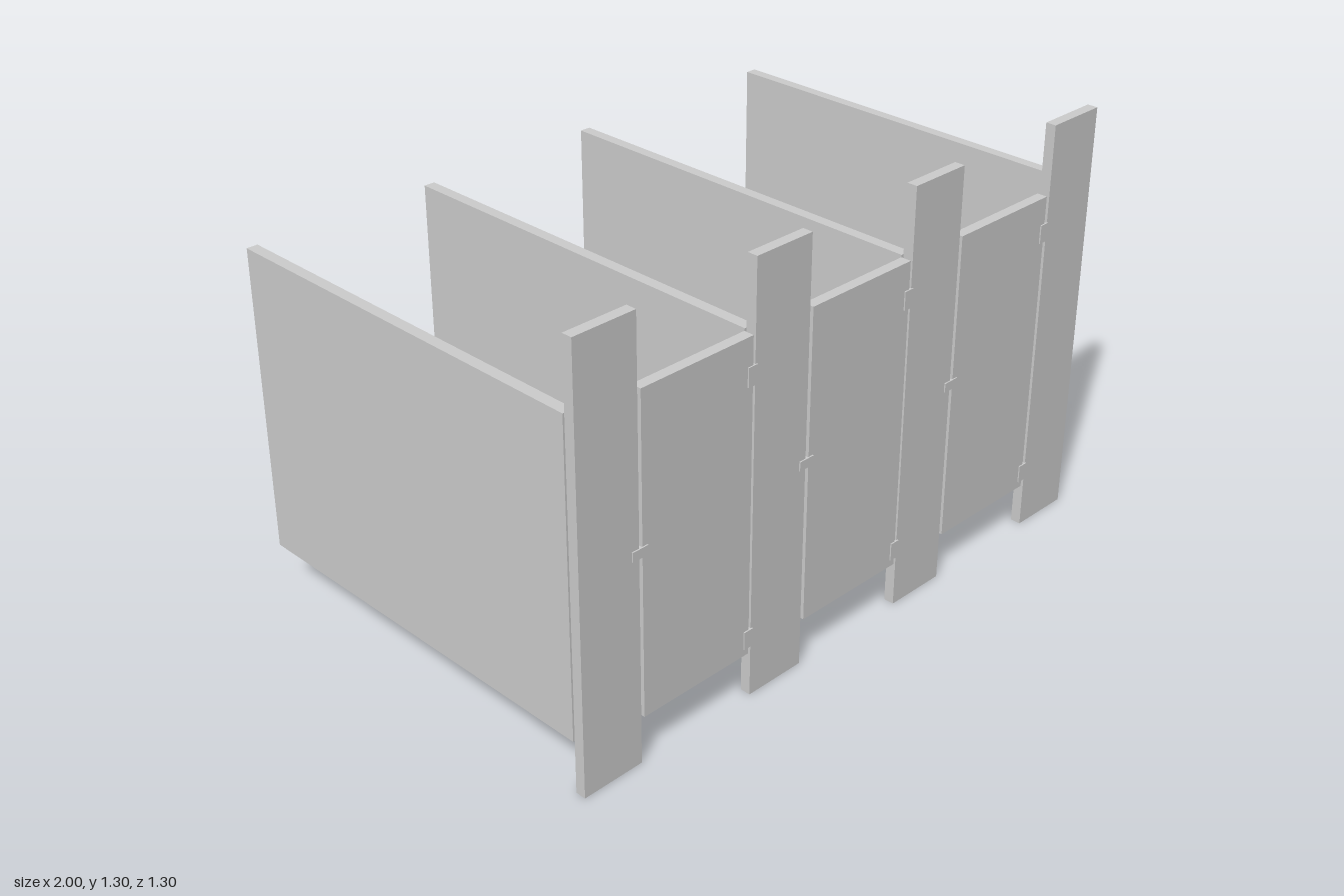
import * as THREE from 'three';

const material = new THREE.MeshStandardMaterial({ color: 0xcccccc });

// Box given by its minimum and maximum on each axis
function block(parent, name, [x0, x1], [y0, y1], [z0, z1]) {
  const mesh = new THREE.Mesh(new THREE.BoxGeometry(x1 - x0, y1 - y0, z1 - z0), material);
  mesh.name = name;
  mesh.position.set((x0 + x1) / 2, (y0 + y1) / 2, (z0 + z1) / 2);
  parent.add(mesh);
}

const FRONT = [0.613, 0.645];

// Bracket with an H-shaped plan: front and back plates joined through the gap
function bracket(parent, name, x, width, webWidth, y) {
  const group = new THREE.Group();
  group.name = name;
  const plate = [x - width / 2, x + width / 2];
  block(group, 'frontPlate', plate, y, [FRONT[1], 0.649]);
  block(group, 'backPlate', plate, y, [0.607, FRONT[0]]);
  block(group, 'web', [x - webWidth / 2, x + webWidth / 2], y, FRONT);
  parent.add(group);
}

export function createModel() {
  const model = new THREE.Group();
  model.name = 'cubicleRow';

  // Tall front posts
  for (const x of [-1, -0.401, 0.199, 0.802]) {
    block(model, 'post', [x, x + 0.198], [0, 1.302], FRONT);
  }

  // Partitions running back; the last sits near the outer end
  for (const x of [-1, -0.401, 0.199, 0.93]) {
    block(model, 'partition', [x, x + 0.034], [0.157, 1.094], [-0.648, 0.607]);
  }

  // Doors, each with a latch on one edge and two hinges on the other
  for (const [x0, x1] of [[-0.791, -0.409], [-0.191, 0.191], [0.409, 0.79]]) {
    block(model, 'door', [x0, x1], [0.14, 1.092], FRONT);
    bracket(model, 'latch', x0 - 0.01, 0.052, 0.016, [0.627, 0.655]);
    for (const y of [[0.162, 0.217], [0.953, 1.009]]) {
      bracket(model, 'hinge', x1 - 0.003, 0.032, 0.024, y);
    }
  }
  return model;
}
